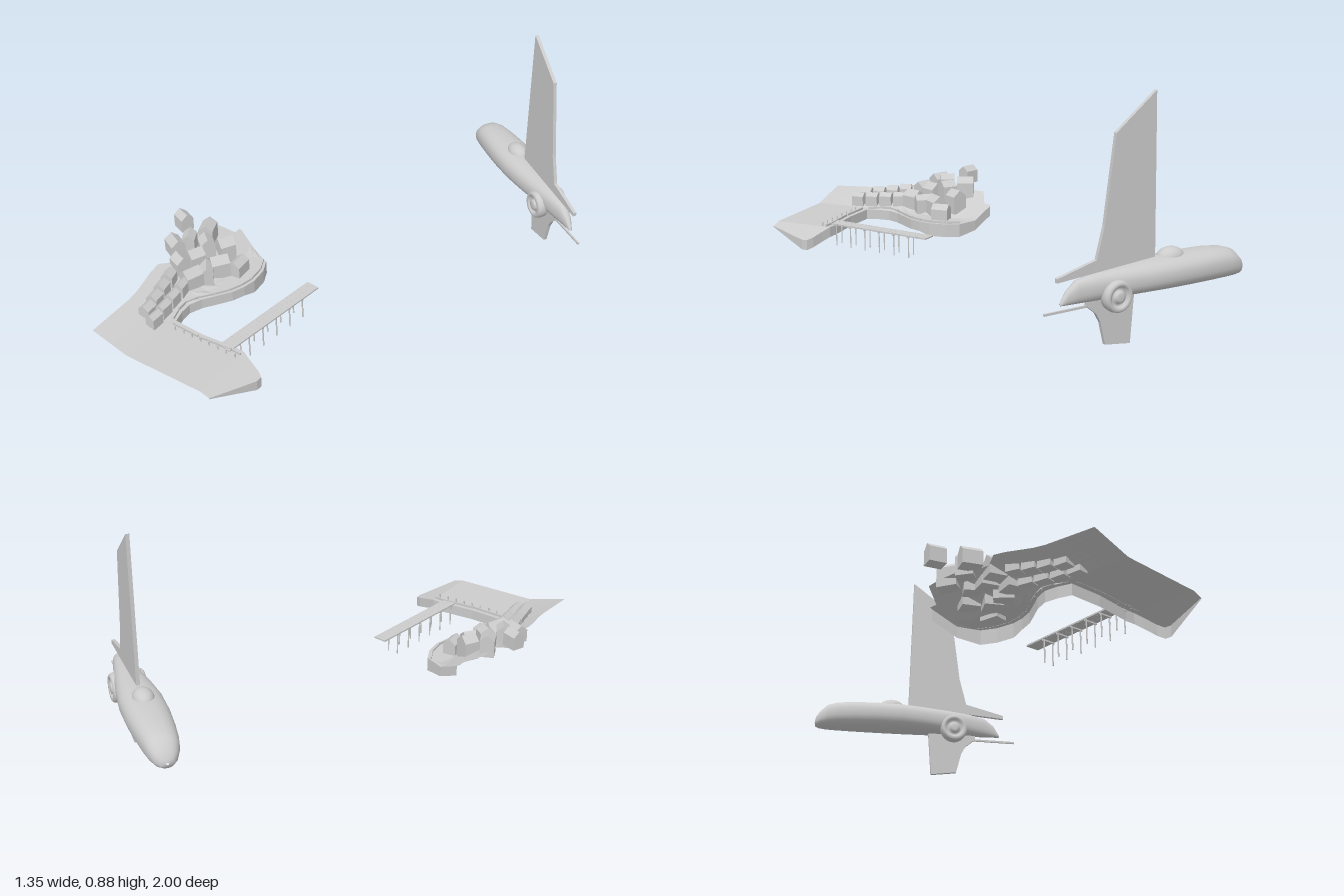
import * as THREE from 'three';

const grey = new THREE.MeshStandardMaterial({ color: 0xcccccc });
const greyFlat = new THREE.MeshStandardMaterial({ color: 0xcccccc, flatShading: true });
const greyThin = new THREE.MeshStandardMaterial({ color: 0xcccccc, flatShading: true, side: THREE.DoubleSide });

function add(parent, name, geometry, material = greyFlat, x = 0, y = 0, z = 0) {
  const m = new THREE.Mesh(geometry, material);
  m.name = name;
  m.position.set(x, y, z);
  parent.add(m);
  return m;
}

// Surface through rows of [x, y, z] points
function loft(rows) {
  const n = rows[0].length, index = [];
  for (let i = 0; i < rows.length - 1; i++)
    for (let j = 0; j < n - 1; j++) {
      const a = i * n + j, c = a + n;
      index.push(a, c, a + 1, a + 1, c, c + 1);
    }
  const g = new THREE.BufferGeometry();
  g.setAttribute('position', new THREE.Float32BufferAttribute(rows.flat(2), 3));
  g.setIndex(index);
  g.computeVertexNormals();
  return g;
}

// Flat outline with thickness, centred on z = 0
function slab(points, depth) {
  const shape = new THREE.Shape(points.map(p => new THREE.Vector2(...p)));
  const g = new THREE.ExtrudeGeometry(shape, { depth, bevelEnabled: false });
  return g.translate(0, 0, -depth / 2);
}

// Ship: nose at local x = 0, tail along +x
function createShip() {
  const ship = new THREE.Group();
  ship.name = 'ship';
  ship.position.set(-0.05, 0, -0.974);
  ship.rotation.y = -0.592;

  // Hull stations: distance, half width, bottom, top
  const stations = [
    [0, 0.004, 0.196, 0.204], [0.004, 0.025, 0.182, 0.22], [0.02, 0.043, 0.177, 0.245], [0.05, 0.058, 0.175, 0.274],
    [0.09, 0.066, 0.175, 0.287], [0.16, 0.074, 0.176, 0.294], [0.26, 0.081, 0.178, 0.297], [0.37, 0.081, 0.18, 0.297],
    [0.46, 0.071, 0.181, 0.293], [0.56, 0.055, 0.182, 0.287], [0.66, 0.037, 0.183, 0.279], [0.73, 0.023, 0.184, 0.266],
    [0.77, 0.014, 0.185, 0.235], [0.795, 0.006, 0.186, 0.195], [0.797, 0.001, 0.188, 0.19]];
  const pw = (v, e) => Math.sign(v) * Math.abs(v) ** e;
  const rows = stations.map(([s, w, b, t]) => Array.from({ length: 33 }, (_, j) => {
    const a = -Math.PI / 2 + j / 32 * Math.PI * 2;
    return [s, (b + t) / 2 + (t - b) / 2 * pw(Math.sin(a), 0.85), w * pw(Math.cos(a), 0.85)];
  }));
  add(ship, 'hull', loft(rows), grey);

  add(ship, 'dome', new THREE.SphereGeometry(1, 28, 16), grey, 0.325, 0.285, 0).scale.set(0.056, 0.037, 0.04);
  add(ship, 'sail', slab([[0.398, 0.298], [0.813, 0.27], [0.813, 0.285], [0.65, 0.325], [0.62, 0.44],
    [0.578, 0.755], [0.41, 0.885]], 0.014));
  add(ship, 'keel', slab([[0.5, 0], [0.608, 0.015], [0.63, 0.1], [0.65, 0.135], [0.69, 0.168],
    [0.69, 0.2], [0.485, 0.2], [0.488, 0.165]], 0.014));
  add(ship, 'tailBoom', new THREE.BoxGeometry(0.24, 0.008, 0.007), greyFlat, 0.742, 0.166, 0);

  // Round pods on both flanks
  const profile = [[0, 0.015], [0.048, 0.015], [0.056, 0.025], [0.058, 0.045], [0.055, 0.06], [0.048, 0.066],
    [0.038, 0.064], [0.034, 0.054], [0.023, 0.054], [0.021, 0.064], [0.012, 0.067], [0, 0.067]];
  const podGeo = new THREE.LatheGeometry(profile.map(p => new THREE.Vector2(...p)), 32).rotateX(Math.PI / 2);
  for (const [name, turn] of [['podRight', 0], ['podLeft', Math.PI]])
    add(ship, name, podGeo, grey, 0.59, 0.198, 0).rotation.y = turn;
  return ship;
}

// Ground height: level quay, hill to the west, dip at the east tip
function ground(x, z) {
  const slope = 0.5 - 0.37 * Math.min(0.6, Math.max(0, z - 0.4));
  return 0.15 + Math.max(0, -0.4 - x) * slope - Math.max(0, x + 0.06) * 0.3;
}

function createLand() {
  const land = new THREE.Group();
  land.name = 'land';
  const at = (x, z) => [x, ground(x, z), z];

  // Headland rows: z, west edge, east edge
  const head = [[0.21, -0.5, -0.49], [0.24, -0.5, -0.4], [0.275, -0.57, -0.32], [0.33, -0.575, -0.293], [0.4, -0.575, -0.284],
    [0.45, -0.57, -0.293], [0.5, -0.56, -0.312], [0.55, -0.56, -0.345], [0.6, -0.59, -0.38], [0.65, -0.585, -0.4],
    [0.7, -0.575, -0.395], [0.75, -0.565, -0.38], [0.8, -0.56, -0.38], [1, -0.56, -0.38]];
  add(land, 'headland', loft(head.map(([z, w, e]) =>
    Array.from({ length: 9 }, (_, j) => at(w + (e - w) * j / 8, z)))), greyThin);

  // Quay columns: x, front z, back z
  const quay = [[-0.38, 1, 0.75], [-0.25, 1, 0.757], [-0.1, 1, 0.747], [-0.06, 1, 0.75], [-0.02, 1, 0.765],
    [0.025, 0.885, 0.78], [0.05, 0.82, 0.795]];
  add(land, 'quay', loft(quay.map(([x, f, b]) => [at(x, f), at(x, (f + b) / 2), at(x, b)])), greyThin);

  // Wall down to the water along the shore
  const shore = [...head.slice(0, 12).map(([z, , e]) => [e, z]), ...quay.slice(1).map(([x, , b]) => [x, b]),
    [0.05, 0.82], [-0.02, 1]];
  add(land, 'shoreWall', loft(shore.map(([x, z], i) => {
    const [, y] = at(x, z);
    const drop = i === shore.length - 1 ? 0.004 : x > -0.34 && z < 0.45 ? 0.055 : 0.042;
    return [[x, y, z], [x, y - drop, z]];
  })), greyThin);

  // Low parapet following the shore
  const curb = new THREE.BoxGeometry(1, 0.01, 0.006);
  const rim = shore.slice(2, 15);
  for (let i = 0; i < rim.length - 1; i++) {
    const [x0, z0] = rim[i], [x1, z1] = rim[i + 1];
    const inX = z0 > 0.74 ? 0 : -0.015, inZ = z0 > 0.74 ? 0.02 : 0;
    const x = (x0 + x1) / 2 + inX, z = (z0 + z1) / 2 + inZ;
    const m = add(land, 'parapet', curb, greyFlat, x, ground(x, z) + 0.004, z);
    m.scale.x = Math.hypot(x1 - x0, z1 - z0) * 0.95;
    m.rotation.y = -Math.atan2(z1 - z0, x1 - x0);
  }
  const post = new THREE.CylinderGeometry(0.003, 0.003, 0.016, 6);
  for (let i = 0; i < 8; i++) add(land, 'bollard', post, greyFlat, -0.35 + i * 0.04, 0.158, 0.79);
  return land;
}

// Gabled house, ridge along local z
function house(parent, x, z, width, length, wall, turn) {
  const w = width / 2, roof = width * 0.4;
  const g = slab([[-w, -0.015], [w, -0.015], [w, wall], [0, wall + roof], [-w, wall]], length);
  add(parent, 'house', g, greyFlat, x, ground(x, z), z).rotation.y = turn;
}

function createVillage() {
  const village = new THREE.Group();
  village.name = 'village';
  // Hill houses: x, z, turn, wall height
  const hill = [[-0.64, 0.38, 1.2, 0.038], [-0.545, 0.35, 0.4, 0.055], [-0.455, 0.355, -0.5, 0.06], [-0.37, 0.385, 0.1, 0.045],
    [-0.5, 0.415, 0.9, 0.065], [-0.425, 0.435, -0.6, 0.05], [-0.56, 0.445, 0.5, 0.055], [-0.59, 0.495, 1.1, 0.035],
    [-0.5, 0.485, -0.4, 0.05], [-0.435, 0.5, 0.7, 0.045], [-0.525, 0.545, 1.2, 0.04], [-0.46, 0.56, -0.3, 0.04]];
  hill.forEach(([x, z, turn, wall], i) =>
    house(village, x, z, 0.052 + (i % 3) * 0.006, 0.062 + (i % 2) * 0.01, wall, turn));
  // Two terraces running down to the quay
  for (let i = 0; i < 4; i++) {
    house(village, -0.515 + i * 0.014, 0.625 + i * 0.058, 0.046, 0.05, 0.032, 0.3 - i * 0.07);
    house(village, -0.455 + i * 0.009, 0.625 + i * 0.063, 0.038, 0.054, 0.036, 0.2 - i * 0.06);
  }
  return village;
}

function createPier() {
  const pier = new THREE.Group();
  pier.name = 'pier';
  const centre = z => -0.13 + (0.765 - z) * 0.113;
  const turn = -0.113;
  // Planked deck
  const plank = new THREE.BoxGeometry(0.055, 0.006, 0.0205);
  for (let i = 0; i < 23; i++) {
    const z = 0.765 - i * 0.0208;
    add(pier, 'plank', plank, greyFlat, centre(z), 0.152, z).rotation.y = turn;
  }
  // Paired piles with a cross beam
  const pile = new THREE.CylinderGeometry(0.0028, 0.0028, 0.092, 6);
  const beam = new THREE.BoxGeometry(0.054, 0.006, 0.006);
  for (let i = 0; i < 6; i++) {
    const z = 0.745 - i * 0.072;
    for (const side of [-1, 1]) add(pier, 'pile', pile, greyFlat, centre(z) + side * 0.022, 0.106, z);
    add(pier, 'crossBeam', beam, greyFlat, centre(z), 0.146, z).rotation.y = turn;
  }
  return pier;
}

export function createModel() {
  const model = new THREE.Group();
  model.name = 'harbourAndShip';
  model.add(createShip(), createLand(), createVillage(), createPier());
  return model;
}
